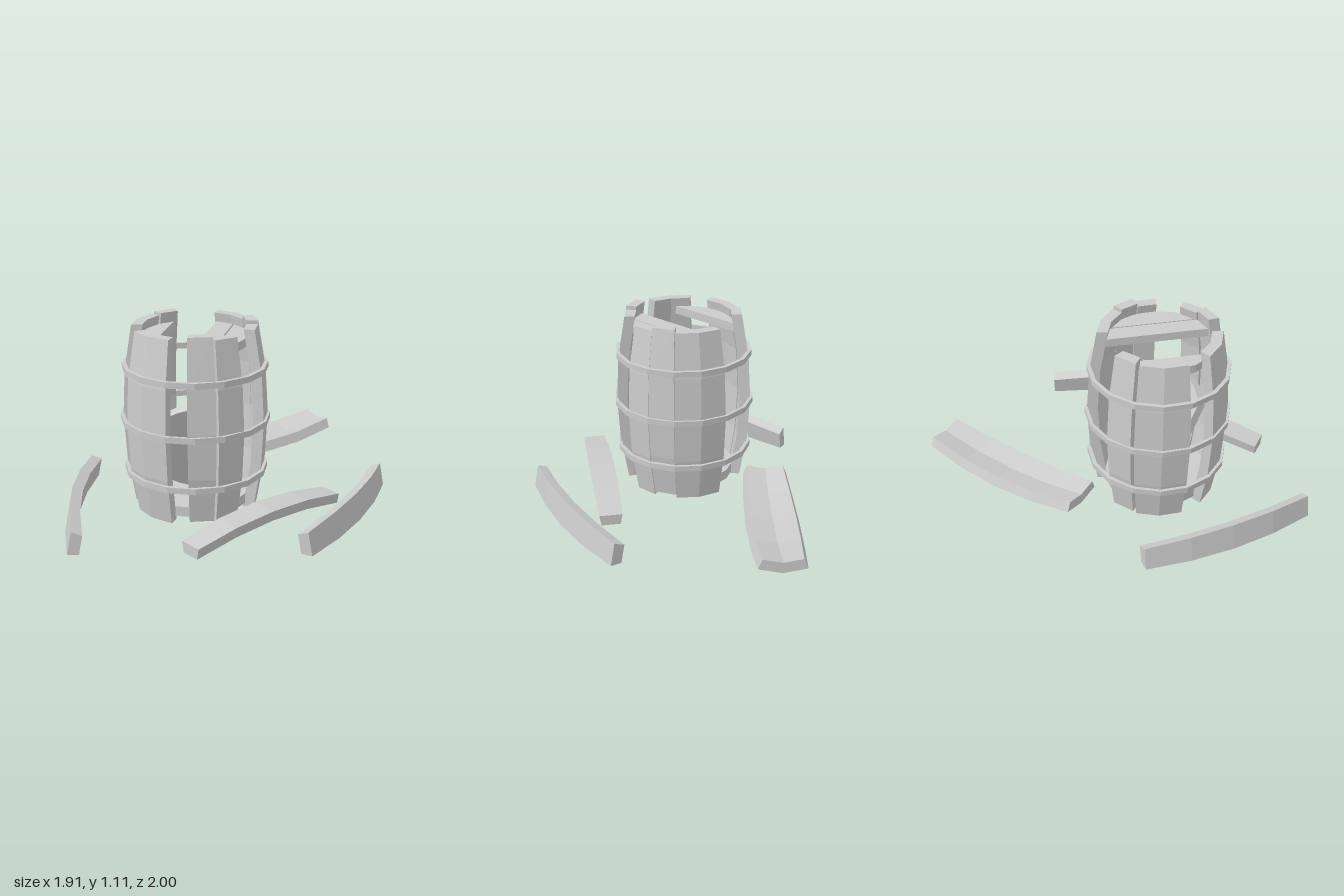
import * as THREE from 'three';

const STEP = Math.PI / 8; // one facet of the 16-sided barrel
const THICK = 0.065;
const PROFILE = [[-0.54, 0.36], [-0.27, 0.405], [0, 0.42], [0.27, 0.405], [0.54, 0.36]];
const rad = THREE.MathUtils.degToRad;
const wood = new THREE.MeshStandardMaterial({ color: 0xcccccc, flatShading: true });

function add(parent, name, geometry, x = 0, y = 0, z = 0) {
  const mesh = new THREE.Mesh(geometry, wood);
  mesh.name = name;
  mesh.position.set(x, y, z);
  parent.add(mesh);
  return mesh;
}

// Bowed stave, one or more facets wide, facing +z with the barrel axis on y
function staveGeometry(facets) {
  const span = facets * STEP - 0.008;
  const angles = Array.from({ length: facets + 1 }, (_, i) => span * (i / facets - 0.5));
  const loops = PROFILE.map(([y, r]) => {
    const at = (a, radius) => [radius * Math.sin(a), y, radius * Math.cos(a)];
    return [...angles.map(a => at(a, r)), ...angles.slice().reverse().map(a => at(a, r - THICK))];
  });
  const pos = [];
  const quad = (a, b, c, d) => pos.push(...a, ...b, ...c, ...a, ...c, ...d);
  const n = loops[0].length;
  for (let j = 0; j < loops.length - 1; j++) {
    const low = loops[j], high = loops[j + 1];
    for (let i = 0; i < n; i++) {
      const k = (i + 1) % n;
      quad(low[i], low[k], high[k], high[i]);
    }
  }
  // End caps
  const bottom = loops[0], top = loops[loops.length - 1];
  for (let i = 0; i < facets; i++) {
    const p = n - 1 - i;
    quad(top[i], top[i + 1], top[p - 1], top[p]);
    quad(bottom[p], bottom[p - 1], bottom[i + 1], bottom[i]);
  }
  const geometry = new THREE.BufferGeometry();
  geometry.setAttribute('position', new THREE.Float32BufferAttribute(pos, 3));
  geometry.computeVertexNormals();
  return geometry;
}

// Strip of a round lid between x0 and x1, running along z
function plankGeometry(x0, x1, radius = 0.31, thick = 0.05) {
  const xs = [0, 1, 2, 3, 4].map(i => x0 + (x1 - x0) * i / 4);
  const end = x => Math.sqrt(Math.max(0, radius * radius - x * x));
  const points = [
    ...xs.map(x => new THREE.Vector2(x, -end(x))),
    ...xs.slice().reverse().map(x => new THREE.Vector2(x, end(x))),
  ];
  return new THREE.ExtrudeGeometry(new THREE.Shape(points), { depth: thick, bevelEnabled: false })
    .rotateX(-Math.PI / 2);
}

function hoopGeometry(inner, outer, height) {
  const h = height / 2;
  const section = [[inner, -h], [outer, -h], [outer, h], [inner, h], [inner, -h]];
  return new THREE.LatheGeometry(section.map(([x, y]) => new THREE.Vector2(x, y)), 16);
}

export function createModel() {
  const model = new THREE.Group();
  model.name = 'brokenBarrel';
  const barrel = new THREE.Group();
  barrel.name = 'barrel';
  barrel.position.set(-0.21, 0, 0.21);
  model.add(barrel);
  const staves = { 1: staveGeometry(1), 2: staveGeometry(2) };

  // Standing staves: start angle from the front, facets, lift
  const standing = [
    [-67.5, 2, 0], [-6, 1, 0.02], [18, 1, 0], [67.5, 1, 0],
    [90, 1, 0.02], [112.5, 2, 0], [200, 1, 0.01], [225, 2, 0],
  ];
  for (const [start, facets, lift] of standing) {
    add(barrel, 'standingStave', staves[facets], 0, 0.55 + lift, 0)
      .rotation.y = rad(start) + facets * STEP / 2;
  }

  // Hoops
  add(barrel, 'lowerHoop', hoopGeometry(0.397, 0.42, 0.035), 0, 0.24, 0);
  add(barrel, 'middleHoop', hoopGeometry(0.415, 0.434, 0.035), 0, 0.545, 0);
  add(barrel, 'upperHoop', hoopGeometry(0.397, 0.42, 0.035), 0, 0.855, 0);

  // Base and the remaining lid planks
  add(barrel, 'base', new THREE.CylinderGeometry(0.31, 0.31, 0.06, 16), 0, 0.065, 0);
  for (const [x0, x1] of [[-0.31, -0.185], [0.06, 0.168], [0.176, 0.31]]) {
    add(barrel, 'lidPlank', plankGeometry(x0, x1), 0, 0.985, 0).rotation.y = -0.23;
  }

  // Lid plank that fell in and leans on the front
  add(barrel, 'fallenLidPlank', plankGeometry(-0.185, 0.06), 0.025, 0.385, 0.135)
    .rotation.x = -1.16;

  // Loose staves on the ground: facets, heading, tilt of the outer face, axis position
  const loose = [
    [1, -90, 11.25, -0.54, 0, 0.355],
    [1, 60.3, 11.25, 0.367, 0, 0.295],
    [1, 40, 90, 0.175, -0.28, 0.59],
    [2, 31.4, -90, 0.164, 0.422, -0.608],
  ];
  for (const [facets, heading, tilt, x, y, z] of loose) {
    const b = rad(heading), e = rad(tilt);
    const along = new THREE.Vector3(Math.cos(b), 0, -Math.sin(b));
    const out = new THREE.Vector3(Math.sin(b) * Math.cos(e), Math.sin(e), Math.cos(b) * Math.cos(e));
    const side = along.clone().cross(out);
    add(model, 'looseStave', staves[facets], x, y, z)
      .quaternion.setFromRotationMatrix(new THREE.Matrix4().makeBasis(side, along, out));
  }
  return model;
}
